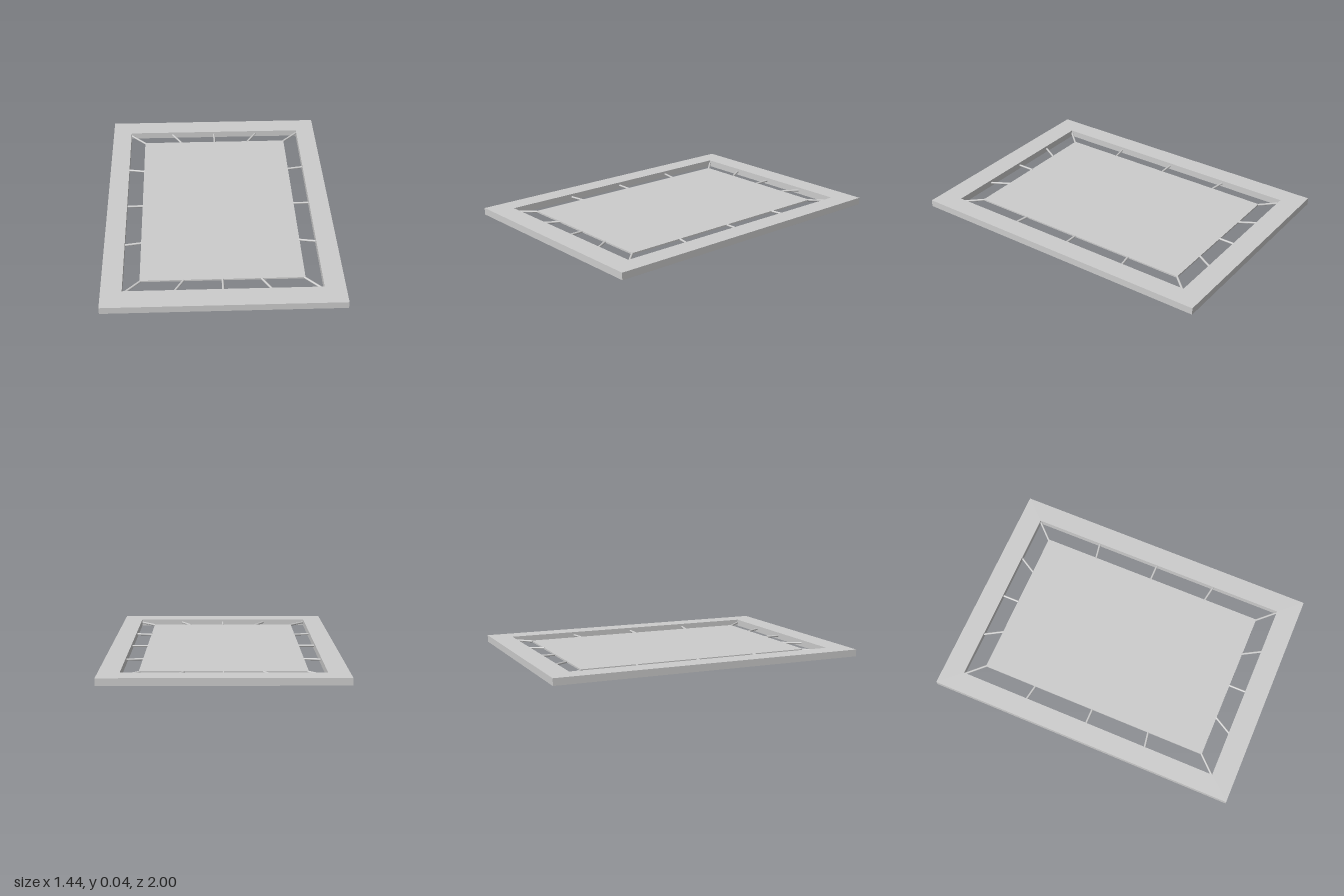
import * as THREE from 'three';

export function createModel() {
  const model = new THREE.Group();
  const material = new THREE.MeshStandardMaterial({ color: 0xcccccc });
  const height = 0.044, midY = 0.022;

  const add = (name, geometry, parent = model) => {
    const mesh = new THREE.Mesh(geometry, material);
    mesh.name = name;
    parent.add(mesh);
    return mesh;
  };

  const rectangle = (path, x0, x1, y0, y1) =>
    path.moveTo(x0, y0).lineTo(x1, y0).lineTo(x1, y1).lineTo(x0, y1).closePath();

  // Outer frame: a flat slab with a rectangular opening (shape y becomes -z)
  const outline = new THREE.Shape();
  rectangle(outline, -0.722, 0.722, -1, 1);
  const opening = new THREE.Path();
  rectangle(opening, -0.595, 0.595, -0.858, 0.862);
  outline.holes.push(opening);
  const frameGeometry = new THREE.ExtrudeGeometry(outline, { depth: height, bevelEnabled: false });
  frameGeometry.rotateX(-Math.PI / 2);
  add('frame', frameGeometry);

  // Thin bed suspended halfway up the frame
  add('bed', new THREE.BoxGeometry(0.99, 0.01, 1.506)).position.set(0, midY, -0.003);

  // Round ties between bed and frame, each [bed x, bed z, frame x, frame z]
  const ties = new THREE.Group();
  ties.name = 'ties';
  model.add(ties);
  const addTie = (x0, z0, x1, z1) => {
    const start = new THREE.Vector3(x0, midY, z0);
    const end = new THREE.Vector3(x1, midY, z1);
    const span = end.clone().sub(start);
    const tie = add('tie', new THREE.CylinderGeometry(0.007, 0.007, span.length() + 0.008, 12), ties);
    tie.position.copy(start).add(end).multiplyScalar(0.5);
    tie.quaternion.setFromUnitVectors(new THREE.Vector3(0, 1, 0), span.normalize());
  };

  const ends = [[-0.756, -0.862], [0.75, 0.858]];
  for (const [bedZ, frameZ] of ends) {
    addTie(0, bedZ, 0, frameZ);
    for (const side of [-1, 1]) {
      addTie(side * 0.235, bedZ, side * 0.297, frameZ);
      addTie(side * 0.493, bedZ, side * 0.595, frameZ);
    }
  }
  for (const side of [-1, 1]) {
    for (const [bedZ, frameZ] of [[-0.404, -0.421], [-0.003, -0.003], [0.385, 0.402]]) {
      addTie(side * 0.495, bedZ, side * 0.595, frameZ);
    }
  }

  return model;
}
